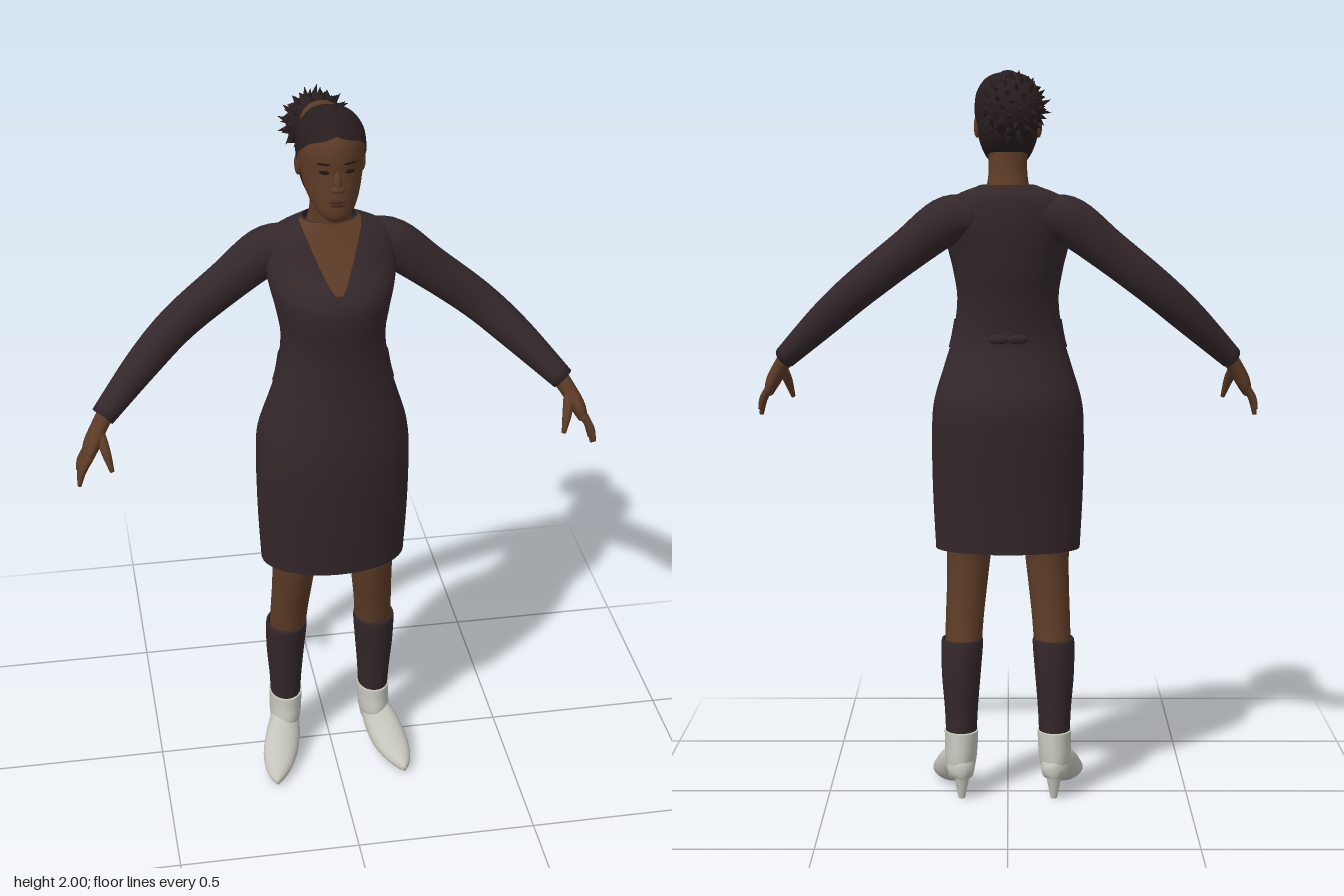
import * as THREE from 'three';

const mat = (name, color, side = THREE.FrontSide) => {
  const m = new THREE.MeshStandardMaterial({ color, side });
  m.name = name;
  return m;
};
const V = (x, y, z) => new THREE.Vector3(x, y, z);

// Skin a list of rings into one smooth surface
function loft(rings, closed = true, capStart = false, capEnd = false) {
  const n = rings[0].length, pos = [], idx = [];
  rings.forEach(r => r.forEach(p => pos.push(p.x, p.y, p.z)));
  for (let j = 0; j < rings.length - 1; j++)
    for (let i = 0; i < (closed ? n : n - 1); i++) {
      const k = (i + 1) % n, a = j * n + i, b = j * n + k, c = b + n, d = a + n;
      idx.push(a, b, c, a, c, d);
    }
  const cap = (j, flip) => {
    const c = rings[j].reduce((s, p) => s.add(p), V(0, 0, 0)).divideScalar(n), m = pos.length / 3;
    pos.push(c.x, c.y, c.z);
    for (let i = 0; i < n; i++) {
      const a = j * n + i, b = j * n + (i + 1) % n;
      flip ? idx.push(m, b, a) : idx.push(m, a, b);
    }
  };
  if (capStart) cap(0, true);
  if (capEnd) cap(rings.length - 1, false);
  const g = new THREE.BufferGeometry();
  g.setAttribute('position', new THREE.Float32BufferAttribute(pos, 3));
  g.setIndex(idx);
  g.computeVertexNormals();
  return g;
}

// Smoothly interpolated section at parameter t (index units)
function sectionAt(S, t) {
  const i = Math.min(Math.floor(t), S.length - 2), f = t - i;
  const at = k => S[Math.max(0, Math.min(S.length - 1, k))];
  return at(i).map((_, c) => {
    const [a, b, d, e] = [at(i - 1)[c], at(i)[c], at(i + 1)[c], at(i + 2)[c]];
    return b + 0.5 * f * (d - a + f * (2 * a - 5 * b + 4 * d - e + f * (3 * (b - d) + e - a)));
  });
}
function paramAt(S, y) {
  let lo = 0, hi = S.length - 1;
  for (let i = 0; i < 30; i++) {
    const m = (lo + hi) / 2;
    sectionAt(S, m)[0] < y ? (lo = m) : (hi = m);
  }
  return lo;
}

// Stack of ellipses [y, cx, cz, rx, rz]; arc(y, rx) gives a partial angle range
function stack(S, { y0, y1, grow = 0, steps = 24, n = 32, arc, caps = [false, false] } = {}) {
  const t0 = y0 === undefined ? 0 : paramAt(S, y0), t1 = y1 === undefined ? S.length - 1 : paramAt(S, y1);
  const rings = [];
  for (let j = 0; j <= steps; j++) {
    const [y, cx, cz, rx, rz] = sectionAt(S, t0 + (t1 - t0) * j / steps);
    const [a0, a1] = arc ? arc(y, rx) : [0, Math.PI * 2];
    rings.push(Array.from({ length: arc ? n + 1 : n }, (_, i) => {
      const a = a0 + (a1 - a0) * i / n;
      return V(cx + (rx + grow) * Math.sin(a), y, cz + (rz + grow) * Math.cos(a));
    }));
  }
  return loft(rings, !arc, ...caps);
}

// Tapered limb through [x, y, z, radius, radiusTowardsFront]
function limb(P, steps = 20, n = 18) {
  const rings = [];
  for (let j = 0; j <= steps; j++) {
    const t = (P.length - 1) * j / steps, s = sectionAt(P, t);
    const p = sectionAt(P, Math.max(0, t - 0.05)), q = sectionAt(P, Math.min(P.length - 1, t + 0.05));
    const T = V(q[0] - p[0], q[1] - p[1], q[2] - p[2]).normalize();
    const U = T.clone().cross(V(0, 0, 1)).normalize(), W = U.clone().cross(T);
    rings.push(Array.from({ length: n }, (_, i) => {
      const a = Math.PI * 2 * i / n;
      return V(s[0], s[1], s[2]).addScaledVector(U, s[3] * Math.sin(a)).addScaledVector(W, s[4] * Math.cos(a));
    }));
  }
  return loft(rings, true, true, true);
}

// [y, half width, front z, back z] to an ellipse section
const body = ([y, rx, f, b]) => [y, 0, (f + b) / 2, rx, (f - b) / 2];
const TORSO = [
  [0.69, 0.2, 0.17, -0.08], [0.85, 0.208, 0.185, -0.092], [1.0, 0.21, 0.195, -0.105], [1.1, 0.204, 0.192, -0.107],
  [1.2, 0.175, 0.18, -0.075], [1.28, 0.152, 0.173, -0.056], [1.38, 0.139, 0.172, -0.065], [1.46, 0.15, 0.18, -0.082],
  [1.52, 0.164, 0.168, -0.09], [1.58, 0.174, 0.115, -0.095], [1.64, 0.168, 0.072, -0.092],
  [1.67, 0.135, 0.054, -0.085], [1.695, 0.07, 0.04, -0.07]].map(body);
const HEAD = [
  [1.732, 0.022, 0.12, 0.07], [1.75, 0.045, 0.131, 0.03], [1.78, 0.064, 0.132, -0.035], [1.82, 0.076, 0.127, -0.07],
  [1.86, 0.082, 0.121, -0.085], [1.9, 0.085, 0.121, -0.09], [1.94, 0.08, 0.111, -0.083],
  [1.97, 0.063, 0.085, -0.062], [1.987, 0.041, 0.055, -0.036], [1.995, 0.012, 0.02, -0.008]].map(body);

export function createModel() {
  const root = new THREE.Group();
  root.name = 'standingWoman';
  const skin = mat('brown skin', 0x5c3b26, THREE.DoubleSide), cloth = mat('dark cloth', 0x33272a, THREE.DoubleSide);
  const hair = mat('dark hair', 0x281d1e, THREE.DoubleSide), shoe = mat('pale leather', 0xc4c4bb);
  const lip = mat('lips', 0x482a20), dark = mat('dark eyes', 0x1e1512), tie = mat('hair tie', 0x5a3c26);
  const add = (name, geo, m, parent = root) => {
    const o = new THREE.Mesh(geo, m);
    o.name = name;
    parent.add(o);
    return o;
  };
  const blob = (name, m, p, r, parent = root) => {
    const o = add(name, new THREE.SphereGeometry(1, 16, 12), m, parent);
    o.position.set(...p);
    o.scale.set(...r);
    return o;
  };

  // Dress
  add('skirt', stack(TORSO, { y1: 1.3, n: 40 }), cloth);
  add('bodice', stack(TORSO, { y0: 1.3, n: 40 }), cloth);
  add('waistband', stack(TORSO, { y0: 1.25, y1: 1.325, grow: 0.004, steps: 6, n: 40 }), cloth);
  for (const s of [-1, 1]) blob('backBow', cloth, [s * 0.025, 1.28, -0.062], [0.03, 0.013, 0.009]);
  // Skin in the open V neckline
  const half = y => 0.008 + 0.07 * Math.pow(Math.max(0, (y - 1.54) / 0.15), 0.75);
  add('neckline', stack(TORSO, {
    y0: 1.54, y1: 1.694, grow: 0.003, n: 16,
    arc: (y, rx) => { const a = Math.asin(Math.min(1, half(y) / rx)); return [-a, a]; }
  }), skin);

  // Head and face
  add('neck', stack([[1.64, 0, -0.012, 0.075, 0.06], [1.69, 0, -0.008, 0.058, 0.053],
    [1.74, 0, 0.002, 0.052, 0.05], [1.82, 0, 0.015, 0.055, 0.055]]), skin);
  add('head', stack(HEAD, { caps: [true, true], steps: 30 }), skin);
  const nose = blob('nose', skin, [0, 1.842, 0.124], [0.011, 0.028, 0.013]);
  nose.rotation.x = -0.25;
  blob('noseTip', skin, [0, 1.825, 0.129], [0.018, 0.01, 0.013]);
  blob('upperLip', lip, [0, 1.793, 0.131], [0.024, 0.005, 0.005]);
  blob('lowerLip', lip, [0, 1.784, 0.131], [0.02, 0.006, 0.005]);
  for (const s of [-1, 1]) {
    blob('eye', dark, [s * 0.033, 1.867, 0.113], [0.014, 0.005, 0.004]).rotation.y = s * 0.4;
    blob('eyebrow', dark, [s * 0.034, 1.889, 0.113], [0.019, 0.003, 0.004]).rotation.y = s * 0.4;
    blob('ear', skin, [s * 0.083, 1.85, 0.005], [0.009, 0.03, 0.017]);
  }

  // Swept-back hair, open around the face
  const line = [[1.76, 2.0], [1.84, 1.7], [1.9, 1.3], [1.935, 0.85], [1.956, 0]];
  const hairline = y => {
    for (let i = 1; i < line.length; i++)
      if (y < line[i][0]) {
        const f = Math.max(0, (y - line[i - 1][0]) / (line[i][0] - line[i - 1][0]));
        return line[i - 1][1] + f * (line[i][1] - line[i - 1][1]);
      }
    return 0;
  };
  add('hairCap', stack(HEAD, {
    y0: 1.765, grow: 0.005, steps: 36, n: 40,
    arc: y => [hairline(y), Math.PI * 2 - hairline(y)]
  }), hair);
  blob('crown', hair, [0, 1.994, 0.006], [0.018, 0.006, 0.02]);

  // Spiky bun with its tie
  const bun = new THREE.Group();
  bun.name = 'bun';
  bun.position.set(-0.015, 1.9, -0.14);
  root.add(bun);
  blob('bunCore', hair, [0, 0, 0], [0.077, 0.077, 0.052], bun);
  const count = 90, up = V(0, 1, 0);
  for (let i = 0; i < count; i++) {
    const y = 1 - 2 * (i + 0.5) / count, r = Math.sqrt(1 - y * y), a = i * 2.39996;
    const d = V(r * Math.cos(a), y, r * Math.sin(a));
    if (d.z > 0.6) continue;
    const len = 0.03 + 0.012 * Math.sin(i * 7.3);
    const spike = add('bunStrand', new THREE.ConeGeometry(0.012, len, 5), hair, bun);
    spike.position.set(d.x * 0.081, d.y * 0.081, d.z * 0.053);
    spike.quaternion.setFromUnitVectors(up, d.clone().add(V(0.3 * Math.sin(i), 0.3 * Math.cos(i * 2), 0)).normalize());
  }
  const ring = add('hairTie', new THREE.TorusGeometry(0.045, 0.01, 8, 24), tie);
  ring.position.set(-0.008, 1.925, -0.088);

  for (const s of [-1, 1]) {
    const side = s > 0 ? 'left' : 'right';
    const m = P => P.map(([x, ...r]) => [s * x, ...r]);
    const legPart = P => P.map(([y, x, ...r]) => [y, s * x, ...r]);

    // Sleeve and hand
    add(side + 'Sleeve', limb(m([[0.09, 1.61, -0.025, 0.055, 0.055], [0.165, 1.598, -0.023, 0.066, 0.058],
      [0.27, 1.52, -0.018, 0.058, 0.05], [0.4, 1.418, -0.006, 0.053, 0.044], [0.5, 1.33, 0.035, 0.047, 0.042],
      [0.62, 1.215, 0.104, 0.032, 0.035]]), 28, 22), cloth);
    const hand = new THREE.Group();
    hand.name = side + 'Hand';
    root.add(hand);
    add('palm', limb(m([[0.605, 1.23, 0.097, 0.024, 0.025], [0.632, 1.19, 0.115, 0.022, 0.029],
      [0.655, 1.15, 0.135, 0.021, 0.041], [0.67, 1.115, 0.145, 0.014, 0.038]])), skin, hand);
    add('thumb', limb(m([[0.632, 1.185, 0.13, 0.014, 0.014], [0.62, 1.145, 0.168, 0.013, 0.013],
      [0.607, 1.095, 0.19, 0.006, 0.006]]), 10, 10), skin, hand);
    [[0.178, 0.19, 1.062], [0.157, 0.167, 1.047], [0.135, 0.142, 1.05], [0.115, 0.116, 1.068]].forEach(([z0, z1, y]) =>
      add('finger', limb(m([[0.662, 1.135, z0 - 0.004, 0.011, 0.011], [0.684, 1.1, z0 + 0.003, 0.0105, 0.0105],
        [0.694, y, z1, 0.005, 0.005]]), 10, 10), skin, hand));

    // Leg and sock
    add(side + 'Leg', stack(legPart([[0.38, 0.126, 0, 0.05, 0.058], [0.5, 0.12, 0.022, 0.053, 0.057],
      [0.6, 0.113, 0.04, 0.057, 0.064], [0.7, 0.108, 0.05, 0.063, 0.071], [0.95, 0.103, 0.05, 0.08, 0.085]])), skin);
    add(side + 'Sock', stack(legPart([[0.15, 0.13, -0.012, 0.042, 0.054], [0.24, 0.13, -0.007, 0.046, 0.057],
      [0.34, 0.13, -0.002, 0.054, 0.063], [0.43, 0.127, 0.006, 0.058, 0.067], [0.44, 0.127, 0.006, 0.052, 0.06]])), cloth);

    // Pointed ankle boot with a thin heel
    const boot = new THREE.Group();
    boot.name = side + 'Boot';
    root.add(boot);
    add('bootShaft', stack(legPart([[0.055, 0.132, -0.02, 0.035, 0.055], [0.1, 0.132, -0.01, 0.044, 0.072],
      [0.15, 0.13, -0.011, 0.046, 0.066], [0.183, 0.13, -0.011, 0.047, 0.062]]), { caps: [true, true] }), shoe, boot);
    const foot = stack(legPart([[-0.087, 0.128, -0.08, 0.012, 0.018], [-0.06, 0.13, -0.082, 0.036, 0.036],
      [0, 0.136, -0.086, 0.042, 0.046], [0.05, 0.147, -0.068, 0.05, 0.053], [0.1, 0.161, -0.042, 0.051, 0.041],
      [0.15, 0.173, -0.027, 0.041, 0.026], [0.19, 0.182, -0.019, 0.023, 0.018], [0.212, 0.186, -0.015, 0.005, 0.008]]),
      { caps: [true, true] });
    add('bootFoot', foot.rotateX(Math.PI / 2), shoe, boot);
    const heel = add('heel', new THREE.CylinderGeometry(0.023, 0.009, 0.068, 14), shoe, boot);
    heel.position.set(s * 0.128, 0.034, -0.062);
  }
  return root;
}
